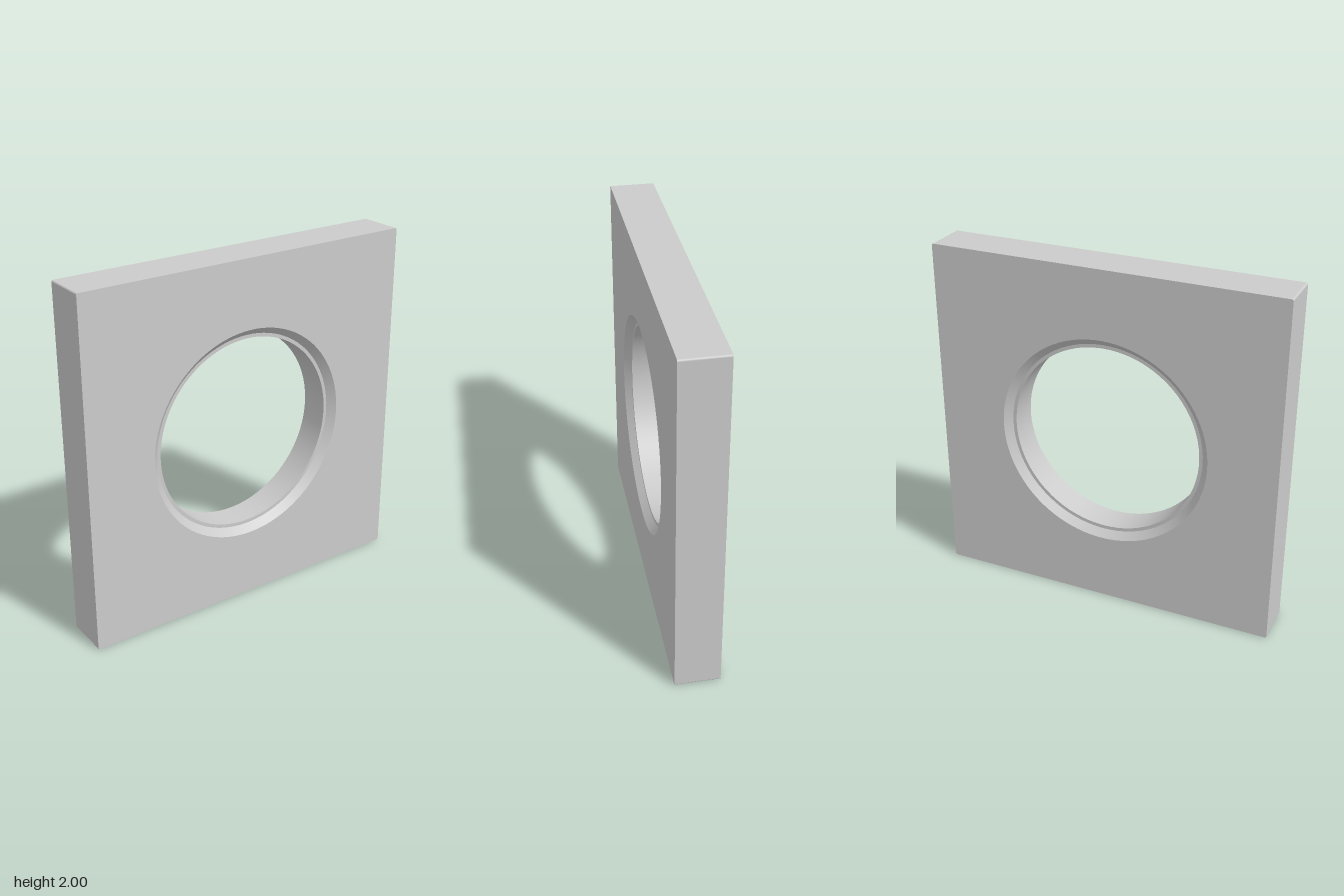
import * as THREE from 'three';

const HALF = 1, DEPTH = 0.25, CORNER = 0.01;
const SEGMENTS = 96;

// Square with barely rounded corners, centred on the origin
function squareShape() {
  const s = new THREE.Shape();
  const c = HALF - CORNER;
  s.absarc(c, c, CORNER, 0, Math.PI / 2);
  s.absarc(-c, c, CORNER, Math.PI / 2, Math.PI);
  s.absarc(-c, -c, CORNER, Math.PI, Math.PI * 1.5);
  s.absarc(c, -c, CORNER, Math.PI * 1.5, Math.PI * 2);
  s.closePath();
  return s;
}

export function createModel() {
  const model = new THREE.Group();
  model.name = 'squarePlateWithHole';
  const material = new THREE.MeshStandardMaterial({ color: 0xcccccc });
  const add = (name, geometry) => {
    const mesh = new THREE.Mesh(geometry, material);
    mesh.name = name;
    mesh.position.y = HALF;
    model.add(mesh);
    return mesh;
  };

  // Front and back faces, each with the wide mouth of the hole
  const face = squareShape();
  face.holes.push(new THREE.Path().absarc(0, 0, 0.61, 0, Math.PI * 2, true));
  const faceGeometry = new THREE.ShapeGeometry(face, SEGMENTS / 2);
  add('frontFace', faceGeometry).position.z = DEPTH / 2;
  const back = add('backFace', faceGeometry);
  back.position.z = -DEPTH / 2;
  back.rotation.y = Math.PI;

  // Outer rim: only the side walls of an extruded square
  const solid = new THREE.ExtrudeGeometry(squareShape(), {
    depth: DEPTH, bevelEnabled: false, curveSegments: 6,
  });
  const { start, count } = solid.groups[1];
  const rim = new THREE.BufferGeometry();
  for (const key of ['position', 'normal', 'uv']) {
    const { array, itemSize } = solid.attributes[key];
    const part = array.slice(start * itemSize, (start + count) * itemSize);
    rim.setAttribute(key, new THREE.BufferAttribute(part, itemSize));
  }
  rim.translate(0, 0, -DEPTH / 2);
  add('outerRim', rim);

  // Hole lining: chamfer, narrow step, bore, step, chamfer (radius, z)
  const profile = [
    [0.61, 0.125], [0.57, 0.085], [0.55, 0.085],
    [0.55, -0.085], [0.57, -0.085], [0.61, -0.125],
  ].map(([r, z]) => new THREE.Vector2(r, z));
  const names = ['frontChamfer', 'frontStep', 'bore', 'backStep', 'backChamfer'];
  names.forEach((name, i) => {
    const ring = new THREE.LatheGeometry([profile[i], profile[i + 1]], SEGMENTS);
    ring.rotateX(Math.PI / 2);
    add(name, ring);
  });

  return model;
}
